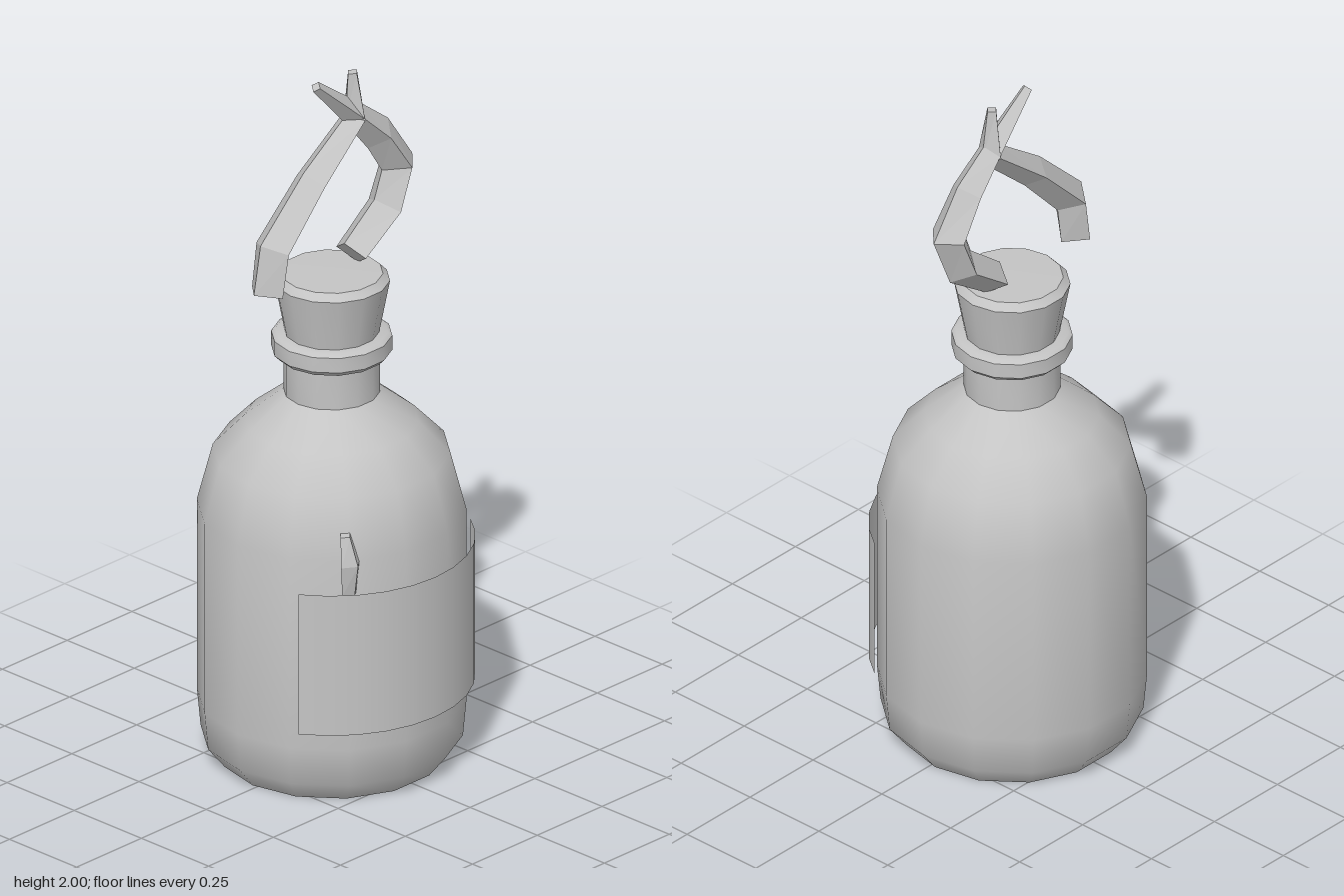
import * as THREE from 'three';
import { toCreasedNormals } from 'three/addons/utils/BufferGeometryUtils.js';

const SIDES = 14;

// Faceted lathe: smooth around, sharp at strong profile corners
function turned(profile) {
  const points = profile.map(([r, y]) => new THREE.Vector2(r, y));
  const geometry = new THREE.LatheGeometry(points, SIDES, Math.PI / SIDES);
  return toCreasedNormals(geometry, 0.75);
}

// Tapering bent bar with a diamond section; each point is [x, y, z, half width, half depth]
function strand(points) {
  const pos = [], index = [];
  const n = points.length;
  const direction = (i) => new THREE.Vector2(
    points[i + 1][0] - points[i][0], points[i + 1][1] - points[i][1]).normalize();
  points.forEach(([x, y, z, w, d], i) => {
    const before = direction(Math.max(i - 1, 0));
    const after = direction(Math.min(i, n - 2));
    const t = before.clone().add(after).normalize();
    const k = w / Math.max(t.dot(after), 0.6);
    const nx = -t.y * k, ny = t.x * k;
    pos.push(x + nx, y + ny, z, x, y, z + d, x - nx, y - ny, z, x, y, z - d);
  });
  for (let i = 0; i < n - 1; i++) {
    for (let j = 0; j < 4; j++) {
      const a = i * 4 + j, b = i * 4 + (j + 1) % 4;
      index.push(a, b, b + 4, a, b + 4, a + 4);
    }
  }
  const e = (n - 1) * 4;
  index.push(0, 3, 2, 0, 2, 1, e, e + 1, e + 2, e, e + 2, e + 3);
  const geometry = new THREE.BufferGeometry();
  geometry.setAttribute('position', new THREE.Float32BufferAttribute(pos, 3));
  geometry.setIndex(index);
  const flat = geometry.toNonIndexed();
  flat.computeVertexNormals();
  return flat;
}

export function createModel() {
  const model = new THREE.Group();
  model.name = 'corkedBottle';
  const grey = new THREE.MeshStandardMaterial({ color: 0xc4c4c4, side: THREE.DoubleSide });
  grey.name = 'light grey';

  const add = (name, geometry) => {
    const mesh = new THREE.Mesh(geometry, grey);
    mesh.name = name;
    mesh.position.z = -0.015;
    model.add(mesh);
  };

  // Bottle body and neck
  add('bottle', turned([
    [0, 0], [0.305, 0], [0.353, 0.06], [0.363, 0.17], [0.363, 0.73],
    [0.32, 0.895], [0.235, 0.985], [0.13, 1.07], [0.13, 1.19],
  ]));

  // Rim around the mouth
  add('rim', turned([
    [0.12, 1.18], [0.148, 1.18], [0.163, 1.195], [0.163, 1.238], [0.152, 1.247], [0.11, 1.247],
  ]));

  // Cork with a bevelled top
  add('cork', turned([
    [0, 1.2], [0.12, 1.2], [0.128, 1.247], [0.157, 1.4], [0.138, 1.42], [0, 1.422],
  ]));

  // Wrapped label standing just off the front
  const half = 1.037;
  const label = new THREE.CylinderGeometry(0.385, 0.385, 0.415, 10, 1, true, -half, half * 2);
  label.translate(0, 0.4325, 0);
  add('label', label);

  // Two crossing wisps above the cork
  add('leftWisp', strand([
    [0.075, 1.45, 0, 0.045, 0.055], [0.205, 1.545, 0, 0.05, 0.06], [0.252, 1.66, 0, 0.052, 0.057],
    [0.178, 1.77, 0, 0.05, 0.05], [0.088, 1.855, 0, 0.036, 0.038], [-0.061, 1.988, 0, 0.015, 0.016],
  ]));
  add('rightWisp', strand([
    [-0.248, 1.442, 0, 0.053, 0.057], [-0.228, 1.565, 0, 0.05, 0.06], [-0.08, 1.715, 0, 0.044, 0.053],
    [0.088, 1.85, 0, 0.032, 0.04], [0.083, 1.985, 0, 0.017, 0.016],
  ].map((p, i) => (i === 4 ? [0.08, 1.985, 0, 0.017, 0.016] : p))));

  // Drip on the shoulder
  add('drip', strand([
    [-0.222, 0.635, 0.282, 0.03, 0.018], [-0.226, 0.725, 0.288, 0.036, 0.028],
    [-0.23, 0.805, 0.272, 0.018, 0.018],
  ]));

  return model;
}
